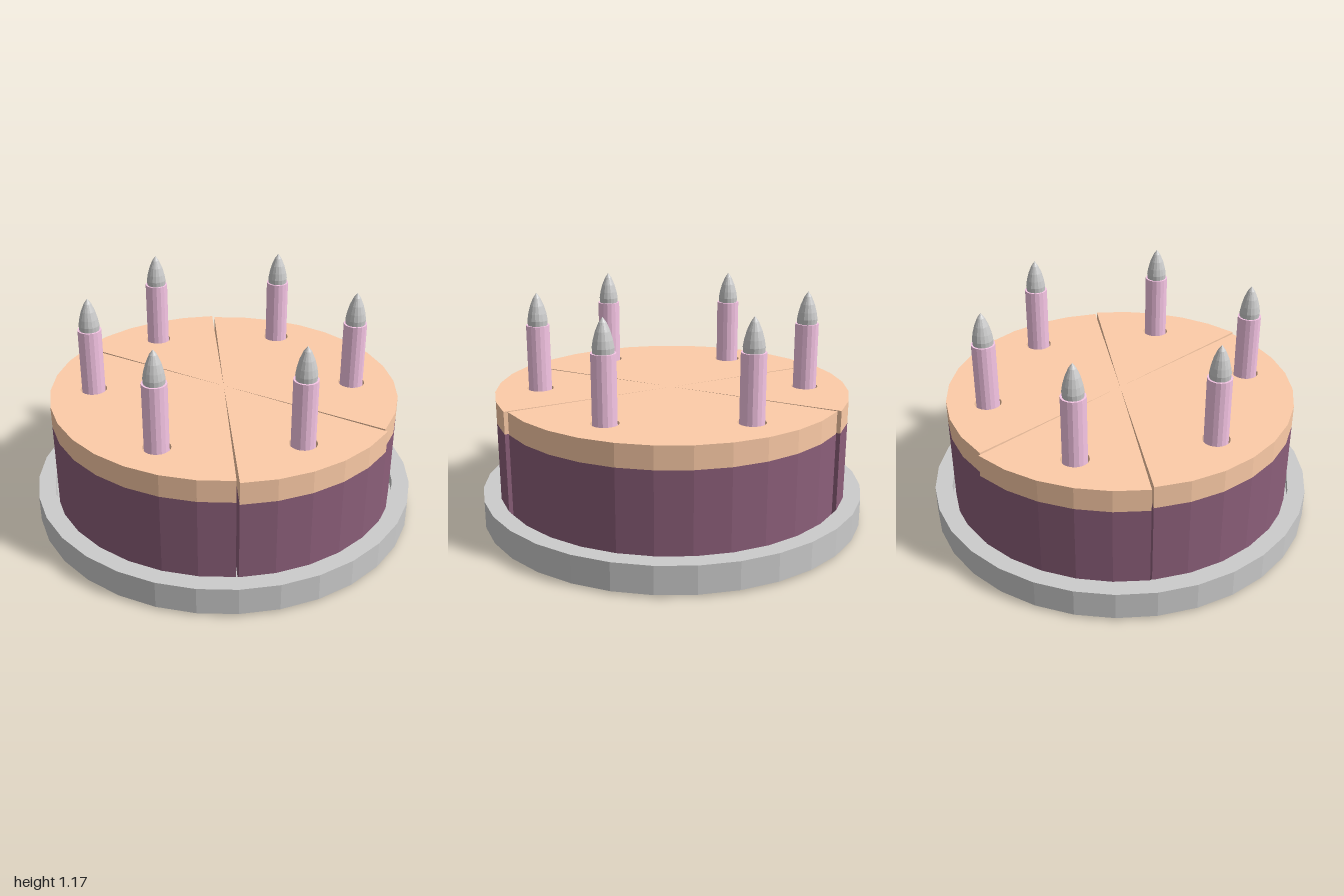
import * as THREE from 'three';

const DEG = Math.PI / 180;
const flat = (color) => new THREE.MeshStandardMaterial({ color, flatShading: true });

export function createModel() {
  const model = new THREE.Group();
  model.name = 'slicedCake';
  const grey = flat(0xcccccc), sponge = flat(0x8c5f7a), icing = flat(0xfdcca8), wax = flat(0xf7c6e6);

  const add = (name, geometry, material, parent = model) => {
    const mesh = new THREE.Mesh(geometry, material);
    mesh.name = name;
    parent.add(mesh);
    return mesh;
  };
  const lathe = (points, sides) =>
    new THREE.LatheGeometry(points.map(([r, y]) => new THREE.Vector2(r, y)), sides);

  // Plate with a shallow seat for the cake
  add('plate', lathe([[0, 0], [0.97, 0], [1, 0.012], [1, 0.155], [0.91, 0.155], [0.91, 0.1], [0, 0.1]], 32), grey);

  // Wedge outline with the arc cut into straight facets, tip at the centre
  const wedge = (from, to, radius, sides) => {
    const shape = new THREE.Shape();
    shape.moveTo(0, 0);
    for (let i = 0; i <= sides; i++) {
      const a = (from + 0.4 + (to - from - 0.8) * i / sides) * DEG;
      shape.lineTo(radius * Math.cos(a), radius * Math.sin(a));
    }
    shape.closePath();
    return shape;
  };
  const extrude = (shape, bottom, top) =>
    new THREE.ExtrudeGeometry(shape, { depth: top - bottom, bevelEnabled: false, curveSegments: 16 })
      .rotateX(-Math.PI / 2).translate(0, bottom, 0);

  // Two wide and two narrow slices; candles are given as [x, z]
  const slices = [
    { from: -34.6, to: 90, radius: 0.895, sides: 11, candles: [[0.345, -0.594], [0.67, 0.004]] },
    { from: 90, to: 145.4, radius: 0.912, sides: 5, candles: [[-0.335, -0.608]] },
    { from: 145.4, to: 270, radius: 0.895, sides: 11, candles: [[-0.673, -0.014], [-0.352, 0.588]] },
    { from: 270, to: 325.4, radius: 0.912, sides: 5, candles: [[0.33, 0.6]] },
  ];

  for (const { from, to, radius, sides, candles } of slices) {
    const slice = new THREE.Group();
    slice.name = 'cakeSlice';
    model.add(slice);

    // Sponge below, icing with candle holes above
    add('sponge', extrude(wedge(from, to, radius, sides), 0.101, 0.56), [icing, sponge], slice);
    const top = wedge(from, to, radius, sides);
    for (const [x, z] of candles) {
      const hole = new THREE.Path();
      hole.absarc(x, -z, 0.068, 0, Math.PI * 2, true);
      top.holes.push(hole);
    }
    add('icing', extrude(top, 0.56, 0.675), icing, slice);

    // Candles with pointed flames
    for (const [x, z] of candles) {
      const candle = new THREE.Group();
      candle.name = 'candle';
      candle.position.set(x, 0, z);
      slice.add(candle);
      add('wax', new THREE.CylinderGeometry(0.06, 0.06, 0.45, 16).translate(0, 0.785, 0), wax, candle);
      add('flame', lathe([[0, 1.005], [0.05, 1.005], [0.052, 1.035], [0.046, 1.07], [0.035, 1.11], [0.018, 1.15], [0, 1.175]], 16), grey, candle);
    }
  }
  return model;
}
